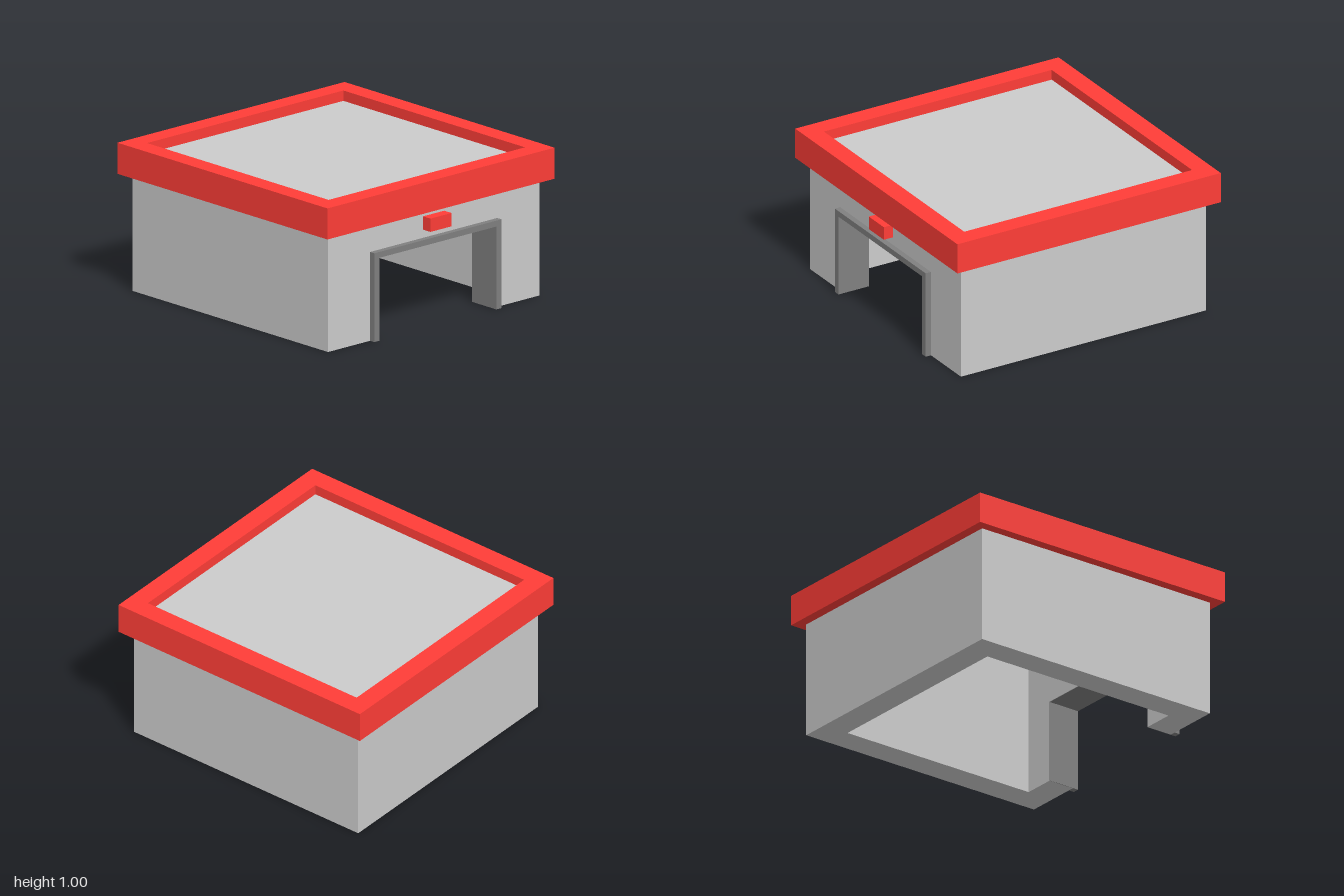
import * as THREE from 'three';

const material = (color) => new THREE.MeshStandardMaterial({ color, flatShading: true });

// Closed shape from a list of [x, y] corners
const outline = (points) => new THREE.Shape(points.map(([x, y]) => new THREE.Vector2(x, y)));

const square = (r) => [[-r, -r], [r, -r], [r, r], [-r, r]];

// Upside-down U standing on the ground, used for the doorway parts
const arch = (outerX, outerY, innerX, innerY) => outline([
  [-outerX, 0], [-innerX, 0], [-innerX, innerY], [innerX, innerY],
  [innerX, 0], [outerX, 0], [outerX, outerY], [-outerX, outerY],
]);

export function createModel() {
  const group = new THREE.Group();
  const wallMat = material(0xcccccc);
  const frameMat = material(0x808080);
  const redMat = material(0xff3d37);

  const HALF = 0.93;      // outer half width of the walls
  const INNER = 0.74;     // inner half width of the room
  const WALL_TOP = 0.92;
  const DOOR_X = 0.515;
  const DOOR_Y = 0.56;

  const add = (name, geometry, mat) => {
    const mesh = new THREE.Mesh(geometry, mat);
    mesh.name = name;
    group.add(mesh);
    return mesh;
  };
  // Extrusion along z, from z0 to z1
  const extrudeZ = (shape, z0, z1) =>
    new THREE.ExtrudeGeometry(shape, { depth: z1 - z0, bevelEnabled: false }).translate(0, 0, z0);
  // Floor plan (x, -z) raised from y0 to y1
  const extrudeY = (shape, y0, y1) =>
    new THREE.ExtrudeGeometry(shape, { depth: y1 - y0, bevelEnabled: false })
      .rotateX(-Math.PI / 2).translate(0, y0, 0);

  // Back and side walls as one U-shaped plan
  const plan = outline([
    [-HALF, -INNER], [-INNER, -INNER], [-INNER, INNER], [INNER, INNER],
    [INNER, -INNER], [HALF, -INNER], [HALF, HALF], [-HALF, HALF],
  ]);
  add('backAndSideWalls', extrudeY(plan, 0, WALL_TOP), wallMat);

  // Front wall with the doorway cut out
  add('frontWall', extrudeZ(arch(HALF, WALL_TOP, DOOR_X + 0.003, DOOR_Y + 0.003), INNER, HALF), wallMat);

  // Dark lining through the wall and the raised frame in front of it
  add('doorLining', extrudeZ(arch(DOOR_X + 0.003, DOOR_Y + 0.003, DOOR_X, DOOR_Y), INNER, HALF), frameMat);
  add('doorFrame', extrudeZ(arch(0.56, 0.6, DOOR_X, DOOR_Y), HALF, 0.97), frameMat);

  // Roof deck sunk inside the rim
  const deck = add('roofDeck', new THREE.BoxGeometry(1.8, 0.01, 1.8), wallMat);
  deck.position.y = WALL_TOP + 0.005;

  // Overhanging roof rim
  const rim = outline(square(1));
  rim.holes.push(outline(square(0.865)));
  add('roofRim', extrudeY(rim, 0.79, 1), redMat);

  // Small block above the door
  const block = add('doorBlock', new THREE.BoxGeometry(0.186, 0.09, 0.07), redMat);
  block.position.set(0, 0.7, 0.965);

  return group;
}
